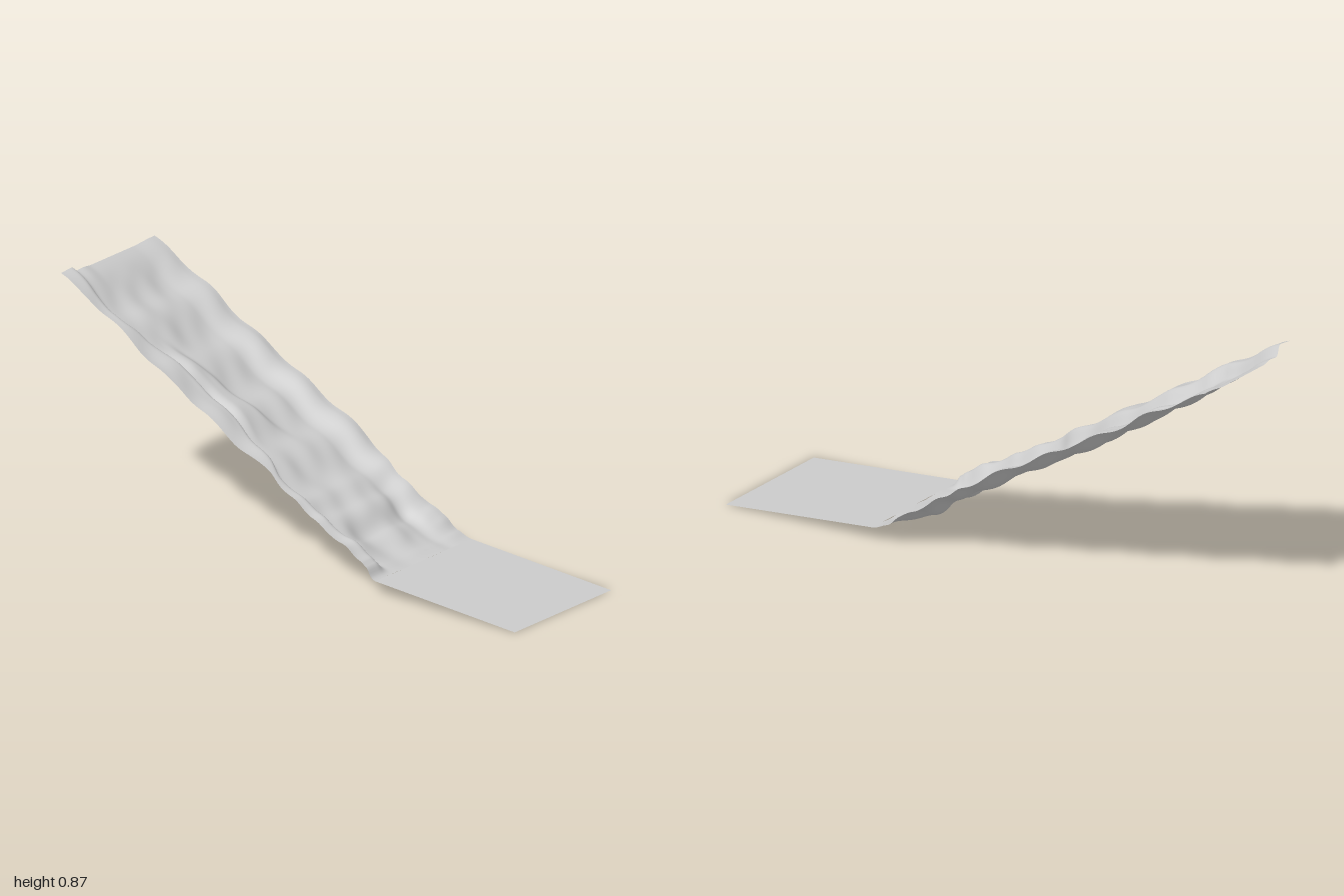
import * as THREE from 'three';

// piecewise-smooth lookup through [key, value] pairs with rising keys
function curve(points) {
  return (k) => {
    if (k <= points[0][0]) return points[0][1];
    for (let i = 1; i < points.length; i++) {
      const [k1, v1] = points[i], [k0, v0] = points[i - 1];
      if (k <= k1) return v0 + (v1 - v0) * THREE.MathUtils.smootherstep(k, k0, k1) * 0.4 + (v1 - v0) * (k - k0) / (k1 - k0) * 0.6;
    }
    return points[points.length - 1][1];
  };
}
const step = THREE.MathUtils.smoothstep;
const bump = (x, y, cx, cy, rx, ry) => Math.exp(-(((x - cx) / rx) ** 2) - ((y - cy) / ry) ** 2);

// sagging centre line of the slope: height against distance back from its foot
const centreHeight = curve([[0, 0.05], [0.07, 0.062], [0.19, 0.11], [0.29, 0.18], [0.39, 0.238],
  [0.59, 0.35], [0.79, 0.46], [0.99, 0.585], [1.19, 0.715], [1.39, 0.842]]);
// outlines and creases, all against height
const leftEdge = curve([[0.05, -0.268], [0.15, -0.265], [0.2, -0.265], [0.25, -0.262], [0.3, -0.247],
  [0.37, -0.265], [0.5, -0.267], [0.58, -0.274], [0.68, -0.268], [0.88, -0.268]]);
const rightEdge = curve([[0.05, 0.27], [0.1, 0.262], [0.15, 0.247], [0.2, 0.247], [0.28, 0.27], [0.85, 0.27]]);
const leftCrease = curve([[0.05, -0.17], [0.16, -0.19], [0.28, -0.19], [0.33, -0.165], [0.42, -0.135],
  [0.5, -0.13], [0.57, -0.14], [0.65, -0.17], [0.7, -0.195], [0.76, -0.18], [0.85, -0.17]]);
const middleCrease = curve([[0.3, 0.08], [0.35, 0.05], [0.42, 0.01], [0.5, -0.02], [0.6, -0.06], [0.7, -0.1]]);
// rise of each side bank above the centre
const leftRise = curve([[0.05, 0], [0.065, 0.05], [0.1, 0.065], [0.16, 0.05], [0.24, 0.048], [0.46, 0.058], [0.6, 0.055], [0.86, 0.037]]);
const rightRise = curve([[0.05, 0], [0.08, 0.03], [0.12, 0.04], [0.2, 0.036], [0.35, 0.05], [0.5, 0.045], [0.65, 0.03], [0.85, 0.008]]);

// relief measured square to the slope
function relief(x, h) {
  const fade = step(h, 0.05, 0.09), c = leftCrease(h);
  let d = leftRise(h) * (1 - step(x, c - 0.045, c + 0.012));
  d -= 0.006 * step(-x, 0.2, 0.27) * fade;
  d += rightRise(h) * step(x, 0.15, 0.25);
  // lobe between the two creases
  const m = middleCrease(h);
  d += 0.02 * step(h, 0.33, 0.45) * (1 - step(h, 0.55, 0.68)) * step(x, c, c + 0.05) * (1 - step(x, m - 0.03, m + 0.012));
  // swellings and hollows
  d += 0.014 * bump(x, h, -0.14, 0.13, 0.05, 0.05) + 0.014 * bump(x, h, 0.06, 0.16, 0.09, 0.06);
  d -= 0.012 * bump(x, h, -0.06, 0.1, 0.05, 0.04) + 0.012 * bump(x, h, 0.16, 0.12, 0.03, 0.06);
  d += 0.01 * bump(x, h, -0.1, 0.86, 0.06, 0.06) * step(-x, 0.08, 0.14);
  // fine undulation stretched along the slope
  const ripple = Math.sin(31 * x + 9 * h) * Math.sin(17 * h + 5 * x) + 0.6 * Math.sin(53 * x - 21 * h + 1) * Math.sin(29 * h - 1);
  return d + 0.0035 * ripple * fade * (1 - step(h, 0.76, 0.83));
}

function createSlope(material) {
  const geometry = new THREE.PlaneGeometry(1, 1, 70, 160);
  const p = geometry.attributes.position;
  for (let i = 0; i < p.count; i++) {
    const u = p.getX(i) + 0.5, back = (p.getY(i) + 0.5) * 1.39;
    const h = centreHeight(back);
    const x = THREE.MathUtils.lerp(leftEdge(h), rightEdge(h), u);
    const d = relief(x, h);
    p.setXYZ(i, x, h + d * 0.87, 0.39 - back + d * 0.49);
  }
  geometry.computeVertexNormals();
  const mesh = new THREE.Mesh(geometry, material);
  mesh.name = 'ruggedSlope';
  return mesh;
}

// flat apron leaning gently down from the foot of the slope
function createApron(material) {
  const geometry = new THREE.PlaneGeometry(0.538, 1);
  const p = geometry.attributes.position;
  for (let i = 0; i < p.count; i++) {
    const t = p.getY(i) + 0.5;
    p.setXYZ(i, p.getX(i) + 0.001, 0.05 * t, 1 - 0.61 * t);
  }
  geometry.computeVertexNormals();
  const mesh = new THREE.Mesh(geometry, material);
  mesh.name = 'flatApron';
  return mesh;
}

export function createModel() {
  const material = new THREE.MeshStandardMaterial({ color: 0xcccccc, side: THREE.DoubleSide });
  const group = new THREE.Group();
  group.name = 'slopeWithApron';
  group.add(createSlope(material), createApron(material));
  return group;
}
